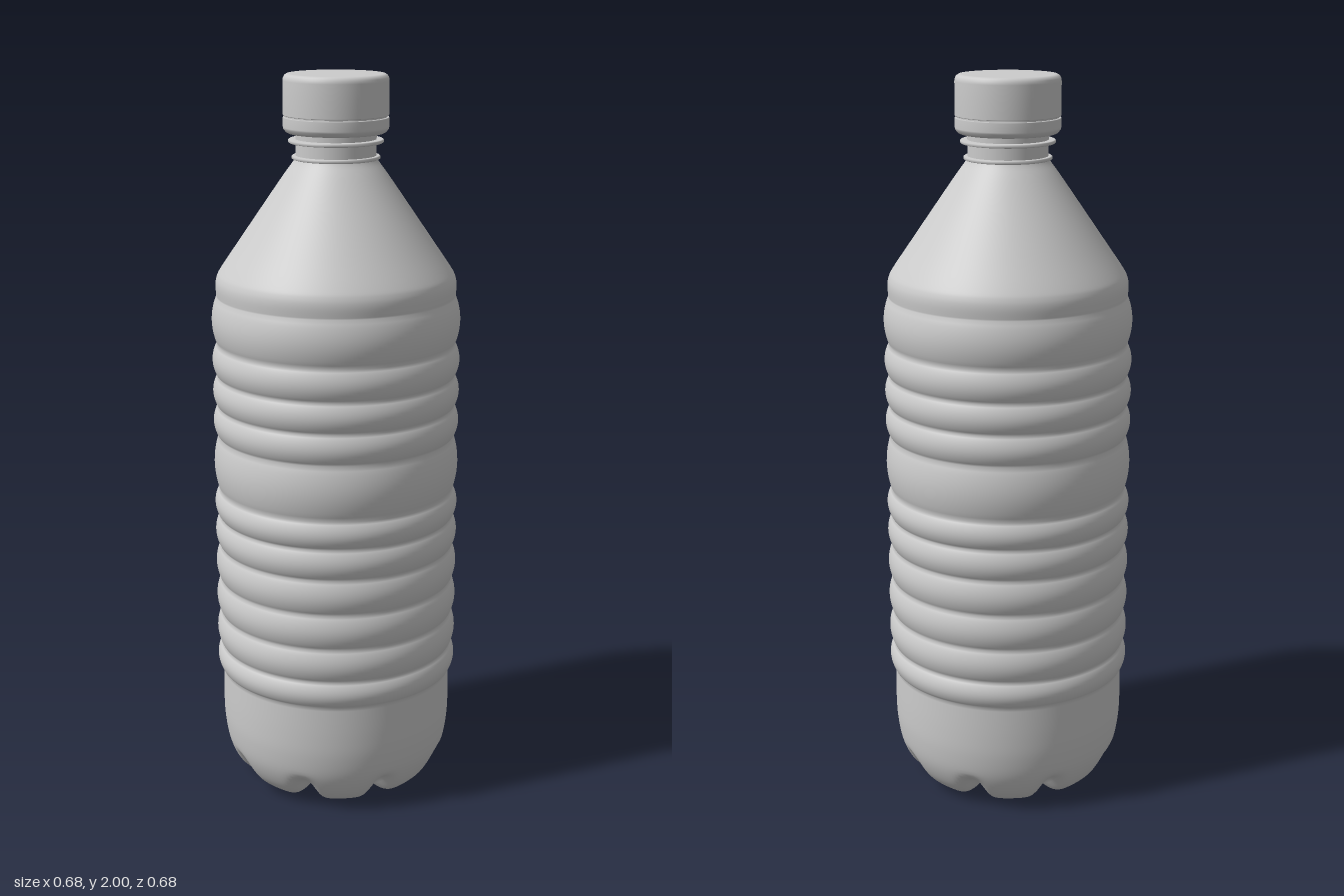
import * as THREE from 'three';
import { mergeVertices } from 'three/addons/utils/BufferGeometryUtils.js';

const material = new THREE.MeshStandardMaterial({ color: 0xcccccc, side: THREE.DoubleSide });
const toPoints = (list) => list.map(([r, y]) => new THREE.Vector2(r, y));

// Turned part, welded so the shading has no seam
function turned(name, points, segments, deform) {
  let geometry = new THREE.LatheGeometry(points, segments);
  geometry.deleteAttribute('uv');
  if (deform) {
    deform(geometry.attributes.position);
    geometry.deleteAttribute('normal');
    geometry = mergeVertices(geometry, 1e-5);
    geometry.computeVertexNormals();
  }
  const mesh = new THREE.Mesh(geometry, material);
  mesh.name = name;
  return mesh;
}

// Eight rounded feet: radial grooves pressed up and in between them
function pressGrooves(position) {
  const pitch = Math.PI / 4;
  for (let i = 0; i < position.count; i++) {
    const x = position.getX(i), y = position.getY(i), z = position.getZ(i);
    const r = Math.hypot(x, z);
    if (y > 0.13 || r < 0.06) continue;
    const angle = Math.atan2(x, z);
    const offset = angle - (Math.floor(angle / pitch) + 0.5) * pitch;
    const width = 0.015 + 0.05 * r;
    const groove = Math.exp(-((offset * r / width) ** 2));
    const fade = THREE.MathUtils.smoothstep(r, 0.07, 0.16) * (1 - THREE.MathUtils.smoothstep(y, 0.02, 0.12));
    const depth = 0.036 * groove * fade;
    const shrink = 1 - 0.6 * depth / r;
    position.setXYZ(i, x * shrink, y + depth, z * shrink);
  }
}

function bodyProfile() {
  // Underside and rounded heel
  const base = new THREE.SplineCurve(toPoints([
    [0, 0.03], [0.05, 0.03], [0.1, 0.026], [0.135, 0.007], [0.17, 0.001], [0.21, 0.002],
    [0.25, 0.016], [0.284, 0.05], [0.31, 0.105], [0.322, 0.17], [0.325, 0.24], [0.324, 0.33],
  ])).getPoints(66);
  base[0].x = 0;
  // Bulging ribs between the creases
  const creases = [0.33, 0.405, 0.5, 0.6, 0.7, 0.787, 0.866, 1.02, 1.105, 1.19, 1.28, 1.41];
  const ribs = [];
  for (let i = 0; i < creases.length - 1; i++) {
    for (let k = 1; k <= 12; k++) {
      const t = k / 12;
      const bulge = Math.pow(Math.max(0, Math.sin(Math.PI * t)), 0.8);
      ribs.push(new THREE.Vector2(0.325 + 0.014 * bulge, THREE.MathUtils.lerp(creases[i], creases[i + 1], t)));
    }
  }
  // Rounded shoulder and cone up to the neck
  const shoulder = new THREE.SplineCurve(toPoints([
    [0.325, 1.41], [0.327, 1.44], [0.323, 1.463], [0.31, 1.487], [0.265, 1.553], [0.2, 1.648],
    [0.14, 1.735], [0.115, 1.769], [0.108, 1.782],
  ])).getPoints(40);
  return [...base, ...ribs, ...shoulder.slice(1)];
}

// Thin collar around the neck
function collar(name, radius, y, height) {
  const h = height / 2;
  return turned(name, toPoints([
    [0.1, y - h], [radius - 0.003, y - h], [radius, y - h + 0.002],
    [radius, y + h - 0.002], [radius - 0.003, y + h], [0.1, y + h],
  ]), 64);
}

export function createModel() {
  const bottle = new THREE.Group();
  bottle.name = 'bottle';
  bottle.add(turned('body', bodyProfile(), 192, pressGrooves));
  bottle.add(turned('neck', toPoints([[0.108, 1.775], [0.108, 1.87]]), 64));
  bottle.add(collar('lowerCollar', 0.118, 1.782, 0.01));
  bottle.add(collar('supportRing', 0.127, 1.825, 0.01));

  // Tamper band, a narrow gap, then the cap itself
  bottle.add(turned('tamperBand', toPoints([
    [0.105, 1.846], [0.128, 1.846], [0.134, 1.849], [0.14, 1.857], [0.141, 1.862],
    [0.141, 1.886], [0.14, 1.888], [0.105, 1.888],
  ]), 96));
  bottle.add(turned('capGap', toPoints([[0.136, 1.885], [0.136, 1.895]]), 96));
  bottle.add(turned('cap', toPoints([
    [0.105, 1.892], [0.14, 1.892], [0.141, 1.894], [0.141, 1.94], [0.141, 1.982],
    [0.1395, 1.99], [0.136, 1.996], [0.13, 1.9995], [0.122, 2], [0.06, 2], [0, 2],
  ]), 96));
  return bottle;
}
